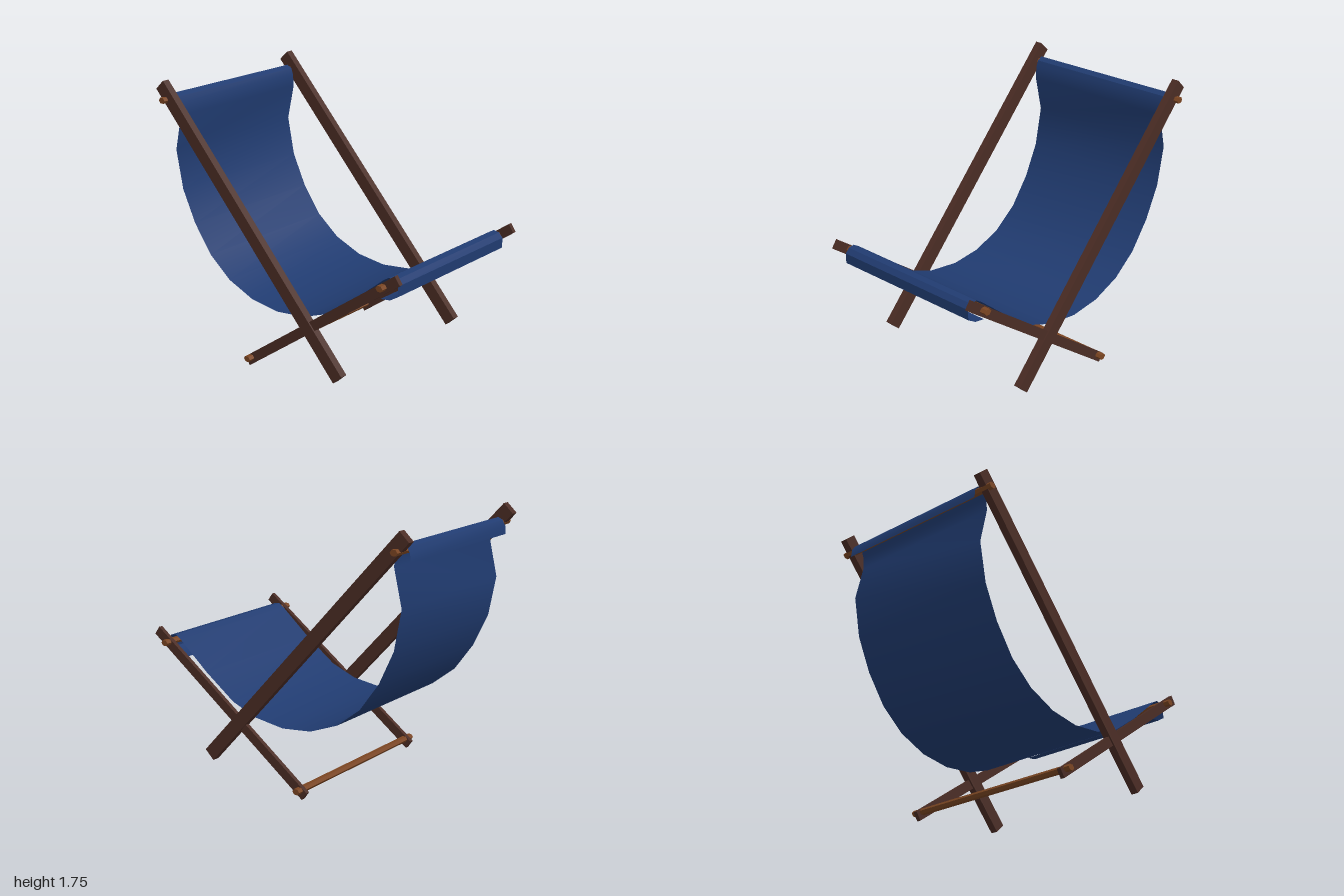
import * as THREE from 'three';
import { toCreasedNormals } from 'three/addons/utils/BufferGeometryUtils.js';

const beamWood = new THREE.MeshStandardMaterial({ color: 0x4a2c24 });
const railWood = new THREE.MeshStandardMaterial({ color: 0x7a4522, flatShading: true });
const cloth = new THREE.MeshStandardMaterial({ color: 0x203b70, side: THREE.DoubleSide });

// Square-ended beam between two [z, y] points at a given x
function beam(name, x, [z0, y0], [z1, y1], thickness, depth) {
  const length = Math.hypot(z1 - z0, y1 - y0);
  const mesh = new THREE.Mesh(new THREE.BoxGeometry(thickness, length, depth), beamWood);
  mesh.name = name;
  mesh.position.set(x, (y0 + y1) / 2, (z0 + z1) / 2);
  mesh.rotation.x = Math.atan2(z1 - z0, y1 - y0);
  return mesh;
}

// Faceted cross rail running along x
function rail(name, z, y) {
  const geometry = new THREE.CylinderGeometry(0.026, 0.026, 1.26, 6);
  geometry.rotateZ(Math.PI / 2).scale(1, 0.8, 1);
  const mesh = new THREE.Mesh(geometry, railWood);
  mesh.name = name;
  mesh.position.set(0, y, z);
  return mesh;
}

// Thin sheet swept across x from a [z, y] profile
function sheet(profile, halfWidth) {
  const positions = [], index = [];
  profile.forEach(([z, y], i) => {
    positions.push(-halfWidth, y, z, halfWidth, y, z);
    if (i === 0) return;
    const a = 2 * (i - 1);
    index.push(a, a + 2, a + 1, a + 1, a + 2, a + 3);
  });
  const geometry = new THREE.BufferGeometry();
  geometry.setAttribute('position', new THREE.Float32BufferAttribute(positions, 3));
  geometry.setIndex(index);
  return toCreasedNormals(geometry, 0.55);
}

export function createModel() {
  const model = new THREE.Group();
  model.name = 'deckChair';

  // Crossing side beams
  for (const [side, s] of [['left', 1], ['right', -1]]) {
    model.add(beam(side + 'BackBeam', s * 0.575, [0.53, 0.137], [-0.94, 1.725], 0.048, 0.088));
    model.add(beam(side + 'SeatBeam', s * 0.576, [-0.23, 0.03], [0.966, 0.892], 0.027, 0.063));
  }

  // Cross rails
  model.add(rail('topRail', -0.892, 1.635));
  model.add(rail('frontRail', 0.867, 0.83));
  model.add(rail('bottomRail', -0.197, 0.065));

  // Sling: wraps over the top rail, sags, and wraps over the front rail
  const profile = [
    [-0.94, 1.57], [-0.935, 1.62], [-0.915, 1.655], [-0.885, 1.67], [-0.85, 1.65], [-0.835, 1.61],
    [-0.83, 1.53], [-0.885, 1.295], [-0.835, 1.04], [-0.735, 0.83], [-0.6, 0.645], [-0.435, 0.515],
    [-0.235, 0.435], [-0.02, 0.41], [0.2, 0.437], [0.38, 0.505], [0.6, 0.66], [0.82, 0.842],
    [0.86, 0.867], [0.9, 0.86], [0.927, 0.83], [0.927, 0.765], [0.87, 0.73], [0.8, 0.72],
  ];
  const sling = new THREE.Mesh(sheet(profile, 0.53), cloth);
  sling.name = 'fabricSling';
  model.add(sling);

  // The chair stands very slightly turned
  model.rotation.y = -0.028;
  return model;
}
